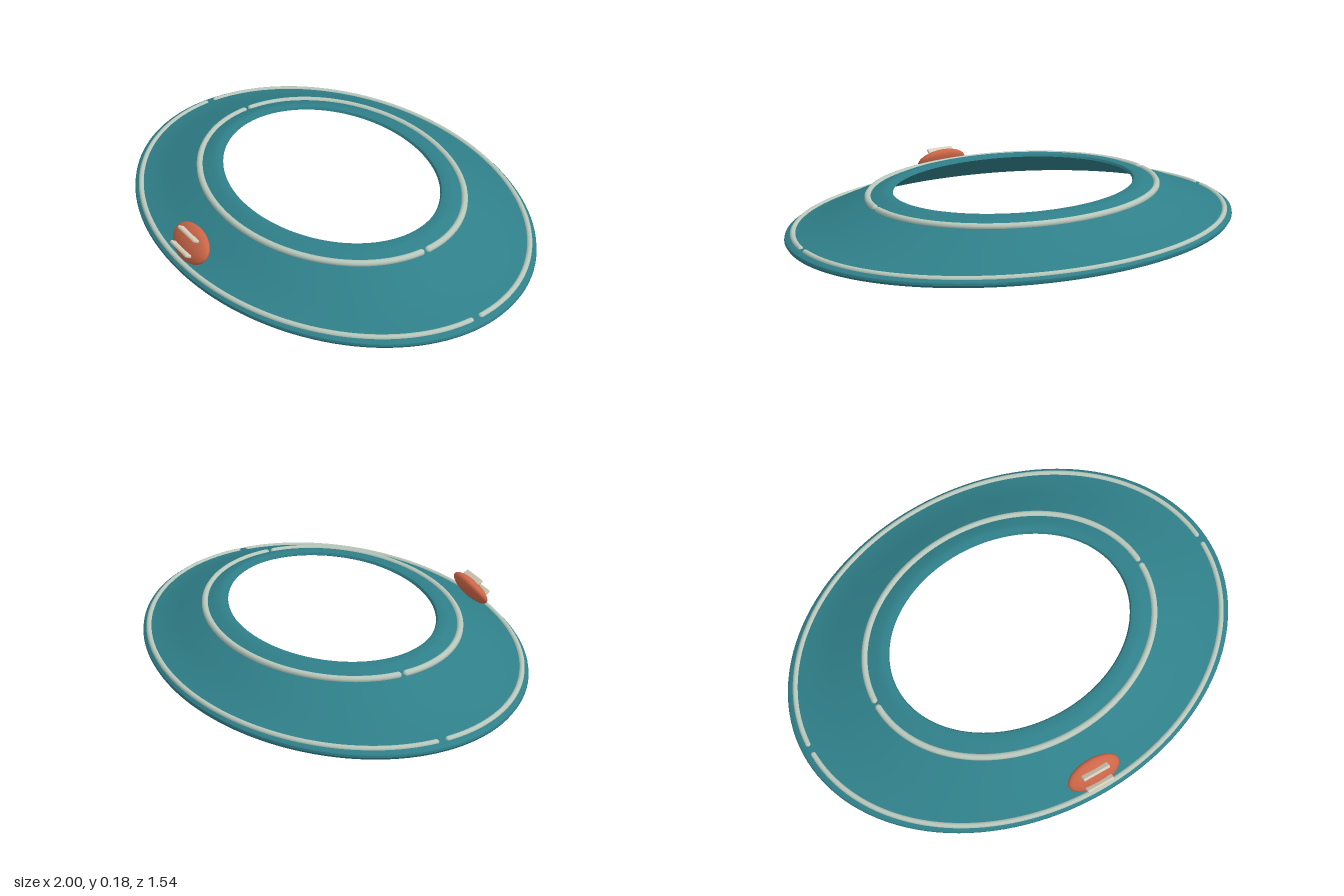
import * as THREE from 'three';
import { toCreasedNormals } from 'three/addons/utils/BufferGeometryUtils.js';
import { RoundedBoxGeometry } from 'three/addons/geometries/RoundedBoxGeometry.js';

const SEGMENTS = 128;

function material(name, color) {
  const m = new THREE.MeshStandardMaterial({ color });
  m.name = name;
  return m;
}

// Closed loft of oval rings, each [x radius, z radius, height]
function ovalLoft(profile) {
  const positions = [], index = [], n = profile.length;
  for (const [rx, rz, y] of profile) {
    for (let j = 0; j < SEGMENTS; j++) {
      const t = (j / SEGMENTS) * Math.PI * 2;
      positions.push(rx * Math.cos(t), y, rz * Math.sin(t));
    }
  }
  for (let i = 0; i < n; i++) {
    for (let j = 0; j < SEGMENTS; j++) {
      const k = (j + 1) % SEGMENTS, next = (i + 1) % n;
      const a = i * SEGMENTS + j, b = i * SEGMENTS + k;
      const c = next * SEGMENTS + j, d = next * SEGMENTS + k;
      index.push(a, b, c, b, d, c);
    }
  }
  const g = new THREE.BufferGeometry();
  g.setAttribute('position', new THREE.Float32BufferAttribute(positions, 3));
  g.setIndex(index);
  return toCreasedNormals(g, 0.6);
}

// Piping in two half ovals, with a small gap at each side
function piping(name, rx, rz, y, radius, mat) {
  const group = new THREE.Group();
  group.name = name;
  for (const side of [0, 1]) {
    const points = [];
    for (let i = 0; i <= 48; i++) {
      const t = side * Math.PI + 0.035 + (i / 48) * (Math.PI - 0.07);
      points.push(new THREE.Vector3(rx * Math.cos(t), y, rz * Math.sin(t)));
    }
    const curve = new THREE.CatmullRomCurve3(points);
    const tube = new THREE.Mesh(new THREE.TubeGeometry(curve, 96, radius, 10), mat);
    tube.name = side ? 'backPiping' : 'frontPiping';
    group.add(tube);
    for (const end of [points[0], points[48]]) {
      const cap = new THREE.Mesh(new THREE.SphereGeometry(radius, 10, 8), mat);
      cap.name = 'pipingEnd';
      cap.position.copy(end);
      group.add(cap);
    }
  }
  return group;
}

export function createModel() {
  const teal = material('teal', 0x2f7f89);
  const pale = material('pale green grey', 0xb8c8bc);
  const coral = material('coral', 0xcc6648);
  const cream = material('cream', 0xd8cebb);

  const model = new THREE.Group();
  model.name = 'ovalCollar';

  // Hollow sloping shell: top lip, slope, rolled rim, then underside
  const shell = new THREE.Mesh(ovalLoft([
    [0.533, 0.414, 0.168],
    [0.538, 0.42, 0.178],
    [0.555, 0.437, 0.182],
    [0.585, 0.465, 0.177],
    [0.64, 0.512, 0.155],
    [0.8, 0.625, 0.095],
    [0.96, 0.74, 0.034],
    [0.985, 0.757, 0.032],
    [0.998, 0.767, 0.023],
    [1.0, 0.768, 0.014],
    [0.994, 0.763, 0.004],
    [0.98, 0.753, 0],
    [0.96, 0.737, 0.008],
    [0.8, 0.622, 0.07],
    [0.63, 0.502, 0.133],
    [0.55, 0.432, 0.158],
  ]), teal);
  shell.name = 'shell';
  model.add(shell);

  model.add(piping('innerPiping', 0.64, 0.512, 0.155, 0.014, pale));
  model.add(piping('outerPiping', 0.963, 0.744, 0.032, 0.012, pale));

  // Tilted oval badge on the front slope
  const badge = new THREE.Group();
  badge.name = 'badge';
  badge.position.set(0, 0.104, 0.69);
  badge.rotation.x = -0.6;
  const button = new THREE.Mesh(new THREE.SphereGeometry(1, 40, 24), coral);
  button.name = 'badgeButton';
  button.scale.set(0.12, 0.075, 0.033);
  badge.add(button);

  // Two plain raised bars across the badge
  for (const s of [-1, 1]) {
    const bar = new THREE.Mesh(new RoundedBoxGeometry(0.125, 0.014, 0.03, 2, 0.005), cream);
    bar.name = s > 0 ? 'upperBar' : 'lowerBar';
    bar.position.set(0, s * 0.035, 0.036);
    badge.add(bar);
  }
  model.add(badge);

  return model;
}
